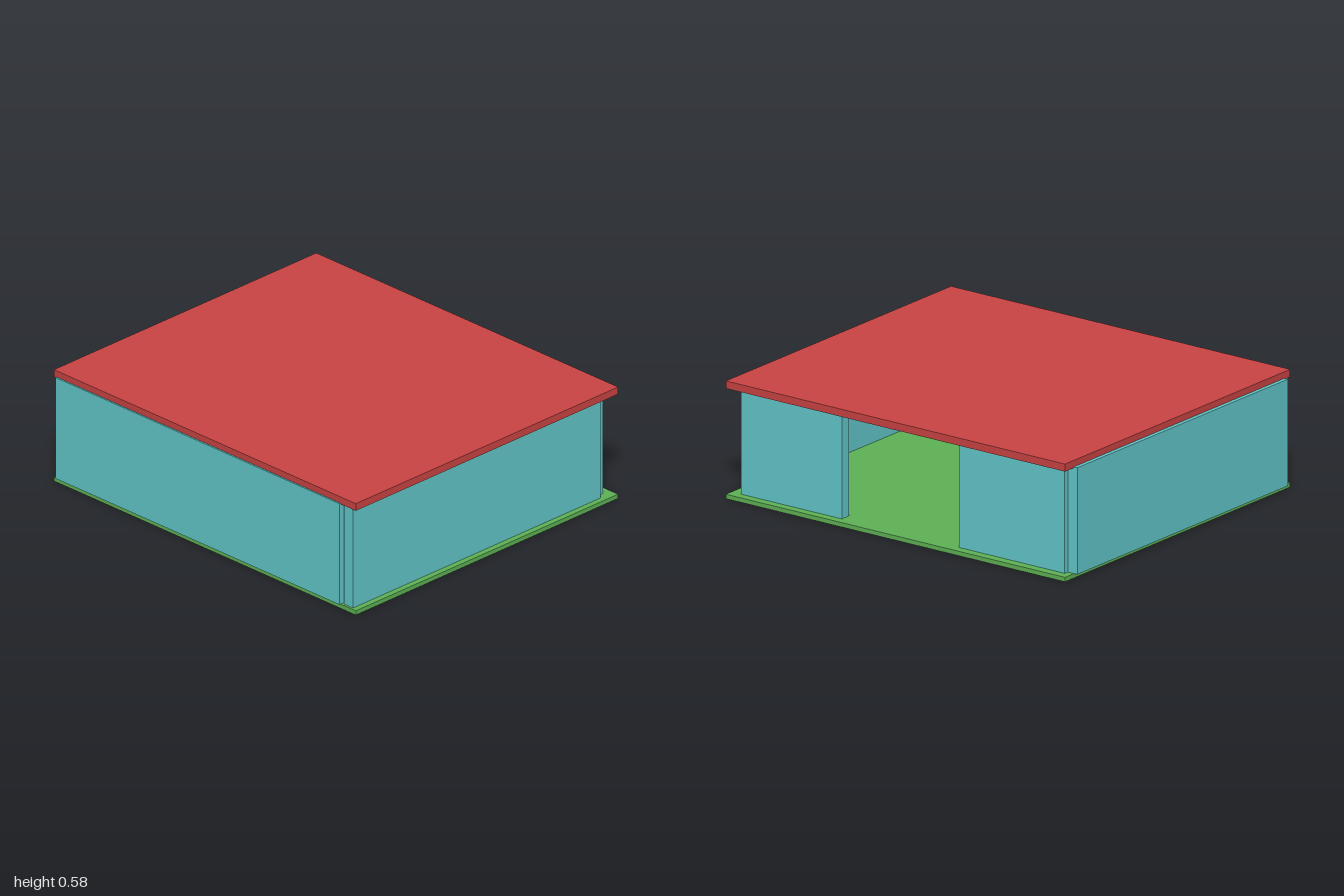
import * as THREE from 'three';

const material = (color) => new THREE.MeshStandardMaterial({ color });

// Rectangle outline in plan; the shape's y axis becomes -z once laid flat
function trace(path, x0, x1, z0, z1) {
  path.moveTo(x0, -z1);
  path.lineTo(x1, -z1);
  path.lineTo(x1, -z0);
  path.lineTo(x0, -z0);
  path.closePath();
  return path;
}

export function createModel() {
  const model = new THREE.Group();
  const green = material(0x5fb356);
  const teal = material(0x63c9cc);
  const red = material(0xcc4444);
  const grey = material(0xcccccc);

  // Box given by its limits on each axis
  function block(name, mat, [x0, x1], [y0, y1], [z0, z1]) {
    const mesh = new THREE.Mesh(new THREE.BoxGeometry(x1 - x0, y1 - y0, z1 - z0), mat);
    mesh.position.set((x0 + x1) / 2, (y0 + y1) / 2, (z0 + z1) / 2);
    mesh.name = name;
    model.add(mesh);
  }

  // Floor slab
  const slabX = [-0.98, 1.0];
  const slabZ = [-0.865, 0.857];
  block('floor', green, slabX, [0, 0.022], slabZ);

  // Walls, with a wide doorway between the two back panels
  const wallY = [0.022, 0.545];
  block('frontWall', teal, [-0.96, 0.9], wallY, [0.81, 0.865]);
  block('leftWall', teal, [0.91, 0.97], wallY, [-0.78, 0.845]);
  block('rightWall', teal, [-1.0, -0.945], wallY, [-0.797, 0.813]);
  block('backWallLeft', teal, [0.355, 0.945], wallY, [-0.822, -0.768]);
  block('backWallRight', teal, [-0.944, -0.328], wallY, [-0.82, -0.766]);

  // Roof: a lower frame around the ceiling recess, closed by a top sheet
  const recessX = [-0.48, 0.5];
  const recessZ = [-0.726, 0.72];
  const outline = trace(new THREE.Shape(), ...slabX, ...slabZ);
  outline.holes.push(trace(new THREE.Path(), ...recessX, ...recessZ));
  const frameGeometry = new THREE.ExtrudeGeometry(outline, { depth: 0.03, bevelEnabled: false });
  frameGeometry.rotateX(-Math.PI / 2);
  const frame = new THREE.Mesh(frameGeometry, red);
  frame.position.y = 0.54;
  frame.name = 'roofFrame';
  model.add(frame);
  block('roofTop', red, slabX, [0.57, 0.577], slabZ);

  // Plain panel set into the recess
  block('ceilingPanel', grey, recessX, [0.566, 0.572], recessZ);

  return model;
}
